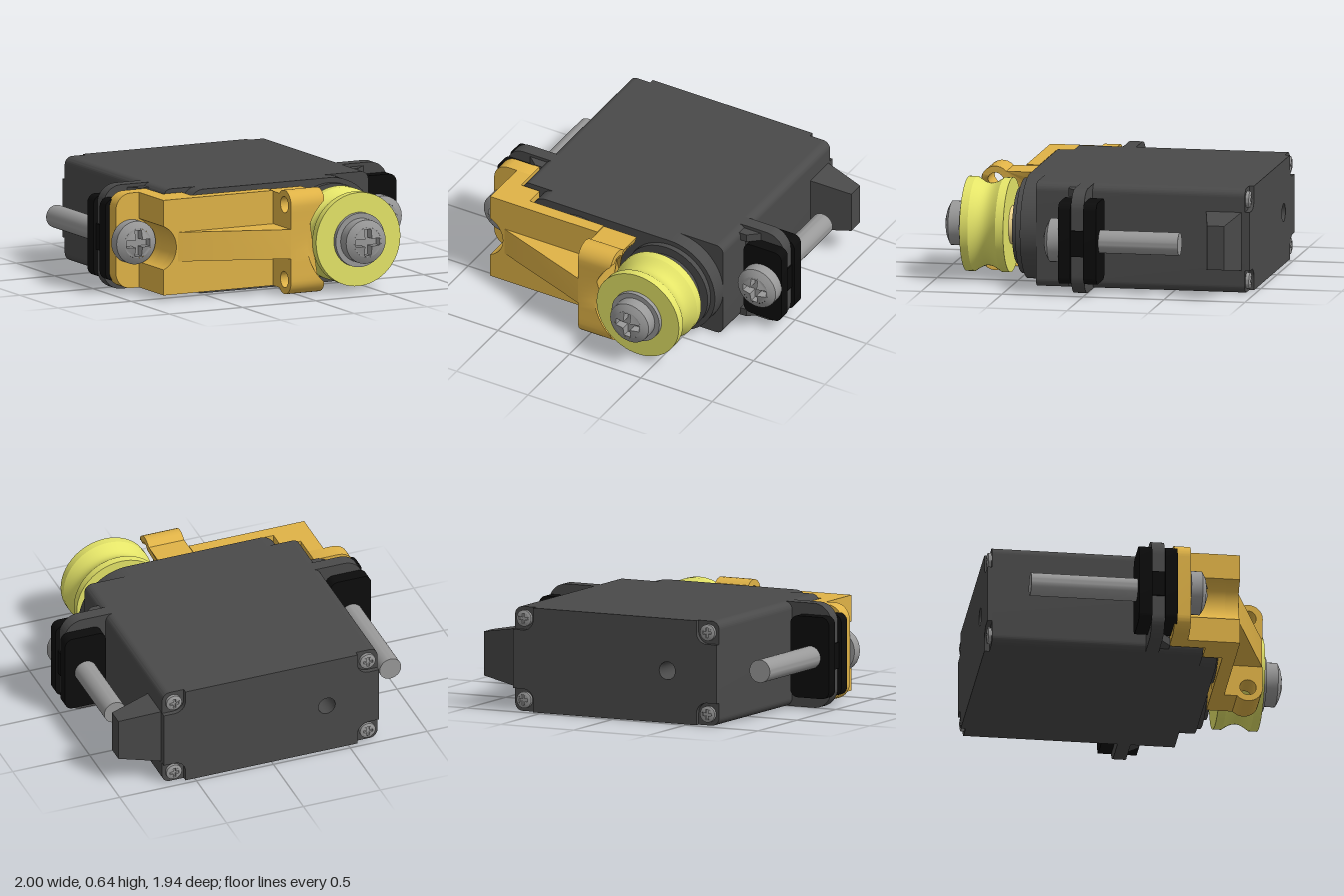
import * as THREE from 'three';
import { toCreasedNormals } from 'three/addons/utils/BufferGeometryUtils.js';

const mat = (color) => new THREE.MeshStandardMaterial({ color });
const V = (x, y) => new THREE.Vector2(x, y);
const MID = 0.32; // mid height of the whole unit

function add(parent, name, geo, material, x = 0, y = 0, z = 0) {
  const mesh = new THREE.Mesh(toCreasedNormals(geo, 0.6), material);
  mesh.name = name;
  mesh.position.set(x, y, z);
  parent.add(mesh);
  return mesh;
}

// Extrude a shape in the xy plane from z0 to z1
function slab(shape, z0, z1) {
  return new THREE.ExtrudeGeometry(shape, { depth: z1 - z0, bevelEnabled: false, curveSegments: 12 }).translate(0, 0, z0);
}

// Extrude an (x, z) outline upwards from y0 to y1
function upright(points, y0, y1) {
  return slab(new THREE.Shape(points.map((p) => V(...p))), 0, y1 - y0).rotateX(Math.PI / 2).translate(0, y1, 0);
}

function roundRect(x0, x1, y0, y1, rl, rr = rl) {
  const s = new THREE.Shape();
  s.moveTo(x0 + rl, y0);
  s.lineTo(x1 - rr, y0);
  s.absarc(x1 - rr, y0 + rr, rr, -Math.PI / 2, 0, false);
  s.absarc(x1 - rr, y1 - rr, rr, 0, Math.PI / 2, false);
  s.absarc(x0 + rl, y1 - rl, rl, Math.PI / 2, Math.PI, false);
  s.absarc(x0 + rl, y0 + rl, rl, Math.PI, Math.PI * 1.5, false);
  return s;
}

function circlePath(x, y, r) {
  const p = new THREE.Path();
  p.absarc(x, y, r, 0, Math.PI * 2, false);
  return p;
}

const zLathe = (points, n = 48) => new THREE.LatheGeometry(points.map((p) => V(...p)), n).rotateX(Math.PI / 2);
const zDisc = (r, z0, z1) => zLathe([[0, z0], [r, z0], [r, z1], [0, z1]]);

// Domed screw along +z with a cross recess; head base at z = 0
function screw(name, material, r, h, dome, shaft = 0) {
  const g = new THREE.Group();
  g.name = name;
  const top = (q) => h + dome * (1 - (q / r) ** 2);
  const rim = r * 0.68, a = r * 0.6, w = r * 0.17;
  const profile = [[0, 0], [r, 0], [r, h]];
  for (let i = 1; i <= 4; i++) {
    const q = r + (rim - r) * i / 4;
    profile.push([q, top(q)]);
  }
  add(g, 'screwHead', zLathe(profile, 32), material);
  const crown = new THREE.Shape();
  crown.absarc(0, 0, rim, 0, Math.PI * 2, false);
  crown.holes.push(new THREE.Path([
    [a, -w], [a, w], [w, w], [w, a], [-w, a], [-w, w], [-a, w], [-a, -w], [-w, -w], [-w, -a], [w, -a], [w, -w],
  ].map((p) => V(...p))));
  const geo = slab(crown, h * 0.6, h + dome);
  const p = geo.attributes.position;
  for (let i = 0; i < p.count; i++) {
    if (p.getZ(i) > h) p.setZ(i, top(Math.hypot(p.getX(i), p.getY(i))));
  }
  add(g, 'screwCrown', geo, material);
  add(g, 'recessFloor', new THREE.CircleGeometry(rim, 24), material, 0, 0, h * 0.7);
  if (shaft) add(g, 'screwShaft', zDisc(0.07, -shaft, 0), material);
  return g;
}

// Rear cover outline with a pocket at each corner
function coverShape() {
  const pts = [], r = 0.07;
  for (let k = 0; k < 4; k++) {
    const c = Math.round(Math.cos(k * Math.PI / 2)), s = Math.round(Math.sin(k * Math.PI / 2));
    const cx = (c + s) * 0.63, cy = MID + (s - c) * 0.25;
    const at = (u, v) => pts.push(V(cx + r * (u * c - v * s), cy + r * (u * s + v * c)));
    at(-1, -1);
    for (let i = 0; i <= 6; i++) at(-Math.cos(i * Math.PI / 12), Math.sin(i * Math.PI / 12));
    at(1, 1);
  }
  return new THREE.Shape(pts);
}

// Guide block: two cable tubes along x, end face hollowed around the pulley
function guideGeometry() {
  const pts = [], cz = 0.705, r = 0.09, N = 12, cut = Math.asin(0.06 / r);
  const put = (z, y) => pts.push(V(-z, y));
  const dip = (i) => 0.004 * Math.sin(Math.PI * i / N);
  for (let i = 0; i <= N; i++) put(0.48 + dip(i), 0.61 - 0.58 * i / N);
  for (let i = 0; i <= 10; i++) {
    const t = Math.PI + cut + (Math.PI - cut) * i / 10;
    put(cz + r * Math.cos(t), 0.09 + r * Math.sin(t));
  }
  for (let i = 1; i < N; i++) put(cz + r - dip(i), 0.09 + 0.46 * i / N);
  for (let i = 0; i <= 10; i++) {
    const t = (Math.PI - cut) * i / 10;
    put(cz + r * Math.cos(t), 0.55 + r * Math.sin(t));
  }
  const shape = new THREE.Shape(pts);
  for (const y of [0.09, 0.55]) shape.holes.push(circlePath(-cz, y, 0.05));
  const geo = slab(shape, -0.06, 0.17).rotateY(Math.PI / 2);
  const p = geo.attributes.position;
  for (let i = 0; i < p.count; i++) {
    const d = 0.33 ** 2 - (p.getY(i) - MID) ** 2;
    if (p.getX(i) > 0.1 && d > 0) p.setX(i, Math.min(0.17, 0.38 - Math.sqrt(d)));
  }
  return geo;
}

export function createModel() {
  const model = new THREE.Group();
  model.name = 'servoWithPulley';
  const dark = mat(0x4a4a4a), black = mat(0x0c0c0c), steel = mat(0x999999);
  const gold = mat(0xe0b347), lime = mat(0xe4e468), cream = mat(0xecd28a);

  // Housing
  const body = roundRect(-0.7, 0.7, 0, 0.64, 0.05);
  body.holes.push(circlePath(-0.36, MID, 0.055));
  add(model, 'housing', slab(body, -0.94, 0.35), dark);
  const cover = coverShape();
  cover.holes.push(circlePath(-0.36, MID, 0.055));
  add(model, 'rearCover', slab(cover, -0.97, -0.94), dark);
  add(model, 'gearCase', slab(roundRect(-0.58, 0.7, 0, 0.64, 0.1, 0.319), 0.34, 0.45), dark);
  add(model, 'idlerBoss', zDisc(0.28, 0.44, 0.475), dark, -0.25, MID);
  add(model, 'outputBoss', zLathe([[0, 0.44], [0.29, 0.44], [0.29, 0.485], [0.235, 0.485], [0.235, 0.515], [0, 0.515]]), dark, 0.38, MID);
  for (const sx of [-1, 1]) for (const sy of [-1, 1]) {
    const s = screw('coverScrew', steel, 0.05, 0.02, 0.01);
    s.position.set(sx * 0.63, MID + sy * 0.25, -0.94);
    s.rotation.y = Math.PI;
    model.add(s);
  }

  // Cable boot: box tapered towards its tip
  const boot = new THREE.BoxGeometry(0.26, 0.36, 0.22);
  const bp = boot.attributes.position;
  for (let i = 0; i < bp.count; i++) {
    if (bp.getX(i) > 0) bp.setXYZ(i, 0.13, bp.getY(i) * 0.75, bp.getZ(i) * 0.48);
  }
  add(model, 'cableBoot', boot, dark, 0.825, MID, -0.81);

  // Mounting ears with rubber grommets, the right one turned half a turn
  for (const side of ['left', 'right']) {
    const ear = new THREE.Group();
    ear.name = side + 'Ear';
    ear.position.y = MID;
    if (side === 'right') ear.rotation.z = Math.PI;
    const s = new THREE.Shape();
    s.moveTo(0.65, -0.32);
    s.lineTo(0.85, -0.32);
    s.absarc(0.85, -0.2, 0.12, -Math.PI / 2, 0, false);
    [[0.97, -0.08], [0.78, -0.08], [0.78, 0.08], [0.97, 0.08]].forEach((p) => s.lineTo(...p));
    s.absarc(0.85, 0.2, 0.12, 0, Math.PI / 2, false);
    s.lineTo(0.65, 0.32);
    add(ear, 'flange', slab(s, 0, 0.08), dark);
    for (const y of [-0.3, 0.25]) {
      add(ear, 'flangeRib', upright([[0.69, 0.07], [0.82, 0.07], [0.74, 0.14], [0.69, 0.14]], y, y + 0.05), dark);
    }
    const pad = roundRect(0.73, 0.995, -0.25, 0.25, 0.05);
    add(ear, 'grommetFront', slab(pad, 0.08, 0.155), black);
    add(ear, 'grommetBack', slab(pad, -0.08, 0), black);
    add(ear, 'grommetCore', new THREE.BoxGeometry(0.2, 0.16, 0.08), black, 0.88, 0, 0.04);
    model.add(ear);
  }
  const leftScrew = screw('leftMountScrew', steel, 0.133, 0.07, 0.045, 0.725);
  leftScrew.position.set(0.862, MID, 0.155);
  const rightScrew = screw('rightMountScrew', steel, 0.133, 0.07, 0.045, 0.97);
  rightScrew.position.set(-0.867, MID, 0.24);
  model.add(leftScrew, rightScrew);

  // Bracket: tab under the screw, stepped wall with head clearance, plate, rib, guide
  const bracket = new THREE.Group();
  bracket.name = 'bracket';
  model.add(bracket);
  add(bracket, 'bracketTab', slab(roundRect(-0.968, -0.71, 0.03, 0.615, 0.1, 0.001), 0.14, 0.24), gold);
  const open = Math.acos(0.057 / 0.145);
  for (const [x, z0, z1] of [[-0.71, 0.24, 0.36], [-0.58, 0.36, 0.48], [-0.06, 0.48, 0.56]]) {
    const s = new THREE.Shape();
    s.moveTo(-0.81, 0.03);
    s.lineTo(x, 0.03);
    s.lineTo(x, 0.615);
    s.lineTo(-0.81, 0.615);
    s.absarc(-0.867, MID, 0.145, open, -open, true);
    add(bracket, 'bracketStep', slab(s, z0, z1), gold);
  }
  add(bracket, 'bracketRib', upright([[-0.71, 0.55], [-0.05, 0.55], [-0.05, 0.79], [-0.06, 0.79], [-0.71, 0.56]], 0.23, 0.41), gold);
  add(bracket, 'cableGuide', guideGeometry(), gold);

  // Pulley on the output shaft
  add(model, 'pulleyHub', zLathe([[0.135, 0.51], [0.118, 0.525], [0.112, 0.54], [0.12, 0.565]]), cream, 0.38, MID);
  const rim = [[0, 0.56], [0.288, 0.56], [0.288, 0.61]];
  for (let i = 1; i <= 12; i++) rim.push([0.288 - 0.038 * Math.sin(Math.PI * i / 12), 0.61 + 0.17 * i / 12]);
  rim.push([0.288, 0.83], [0, 0.83]);
  add(model, 'pulley', zLathe(rim, 64), lime, 0.38, MID);
  add(model, 'washer', zDisc(0.167, 0.83, 0.857), steel, 0.38, MID);
  const hubScrew = screw('pulleyScrew', steel, 0.135, 0.073, 0.04);
  hubScrew.position.set(0.38, MID, 0.857);
  model.add(hubScrew);
  return model;
}
